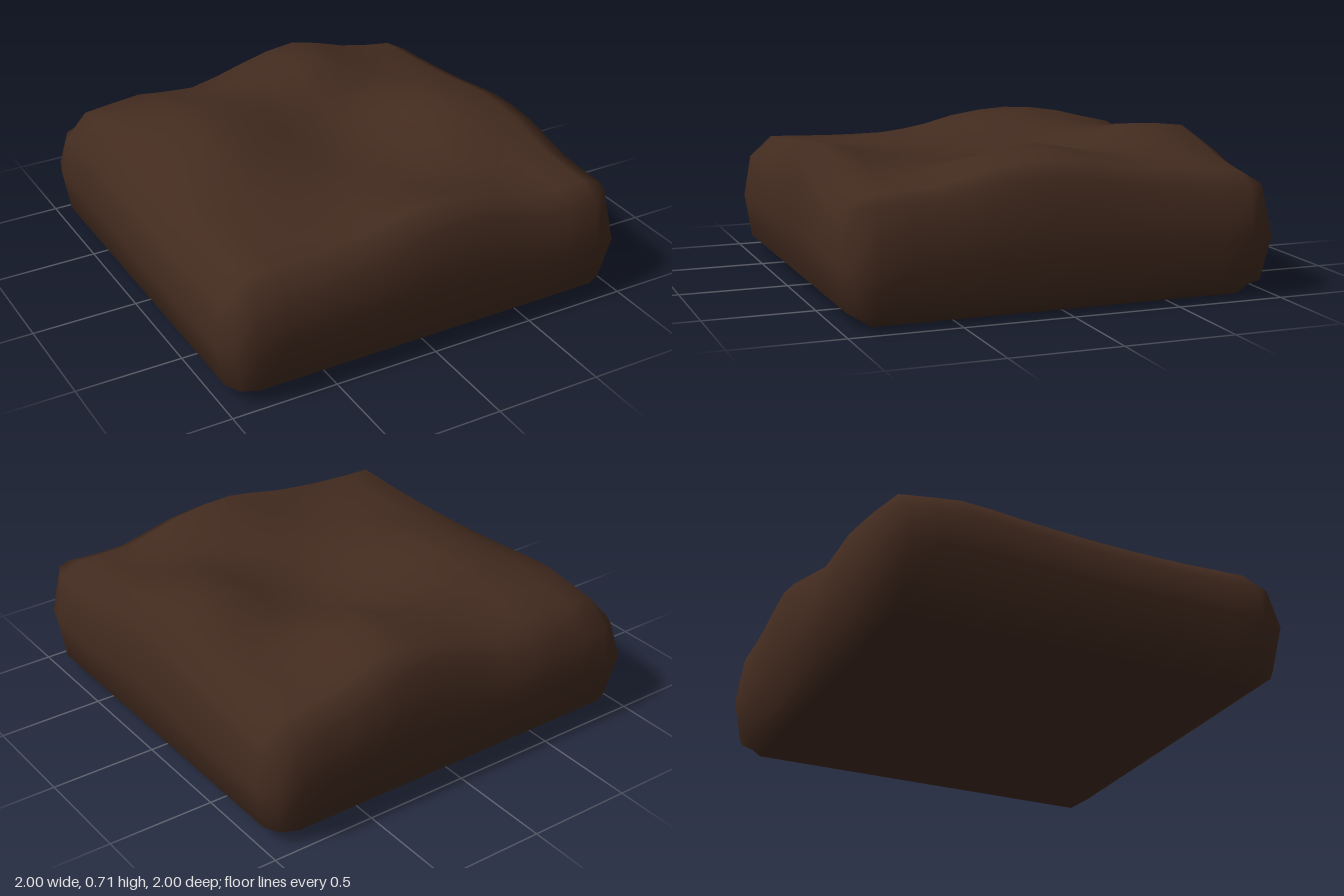
import * as THREE from 'three';
import { mergeVertices } from 'three/addons/utils/BufferGeometryUtils.js';

// Top heights, rows from back (z = -0.86) to front, columns from x = -0.86 to 0.86
const HEIGHTS = [
  [0.57, 0.60, 0.57, 0.64, 0.69, 0.61, 0.56],
  [0.61, 0.67, 0.65, 0.66, 0.71, 0.62, 0.58],
  [0.59, 0.70, 0.68, 0.61, 0.61, 0.63, 0.61],
  [0.57, 0.67, 0.64, 0.57, 0.59, 0.69, 0.65],
  [0.56, 0.60, 0.59, 0.57, 0.58, 0.65, 0.64],
  [0.56, 0.58, 0.58, 0.60, 0.58, 0.57, 0.575],
  [0.57, 0.58, 0.61, 0.66, 0.635, 0.56, 0.56],
];

// Smooth curve through evenly spaced values, u from 0 to 6
function smooth(v, u) {
  const i = Math.min(5, Math.floor(u)), t = u - i;
  const p1 = v[i], p2 = v[i + 1];
  const p0 = v[i - 1] ?? p1, p3 = v[i + 2] ?? p2;
  return p1 + 0.5 * t * (p2 - p0 + t * (2 * p0 - 5 * p1 + 4 * p2 - p3 + t * (3 * (p1 - p2) + p3 - p0)));
}

function topHeight(x, z) {
  const u = (c) => (THREE.MathUtils.clamp(c / (6 / 7), -1, 1) + 1) * 3;
  return smooth(HEIGHTS.map((row) => smooth(row, u(x))), u(z));
}

export function createModel() {
  const group = new THREE.Group();
  group.name = 'earthBlock';
  const soil = new THREE.MeshStandardMaterial({ color: 0x432b1f });
  soil.name = 'darkSoil';

  // Segmented box: edges and corners are drawn in, the top follows the height field
  let geo = new THREE.BoxGeometry(2, 2, 2, 14, 2, 14);
  geo.deleteAttribute('uv');
  geo.deleteAttribute('normal');
  geo = mergeVertices(geo, 1e-4);
  const pos = geo.attributes.position;
  const inset = [1, 1, 0.965, 0.93];
  for (let i = 0; i < pos.count; i++) {
    const x = pos.getX(i), y = pos.getY(i), z = pos.getZ(i);
    const outer = [x, y, z].filter((c) => Math.abs(c) > 0.99).length;
    const pull = (c) => (Math.abs(c) > 0.99 ? Math.sign(c) * inset[outer] : c);
    const h = topHeight(x, z);
    // The top rim falls off more steeply on the left-hand and back sides
    const topDrop = outer > 1 ? 0.08 - 0.03 * x - 0.01 * z : 0;
    const bottomRise = outer > 1 ? 0.07 : 0;
    const ny = y > 0.9 ? h - topDrop : y < -0.9 ? bottomRise : 0.28 + (h - 0.57) * 0.5;
    pos.setXYZ(i, pull(x), ny, pull(z));
  }
  geo.computeVertexNormals();

  const block = new THREE.Mesh(geo, soil);
  block.name = 'soilBlock';
  group.add(block);
  return group;
}
